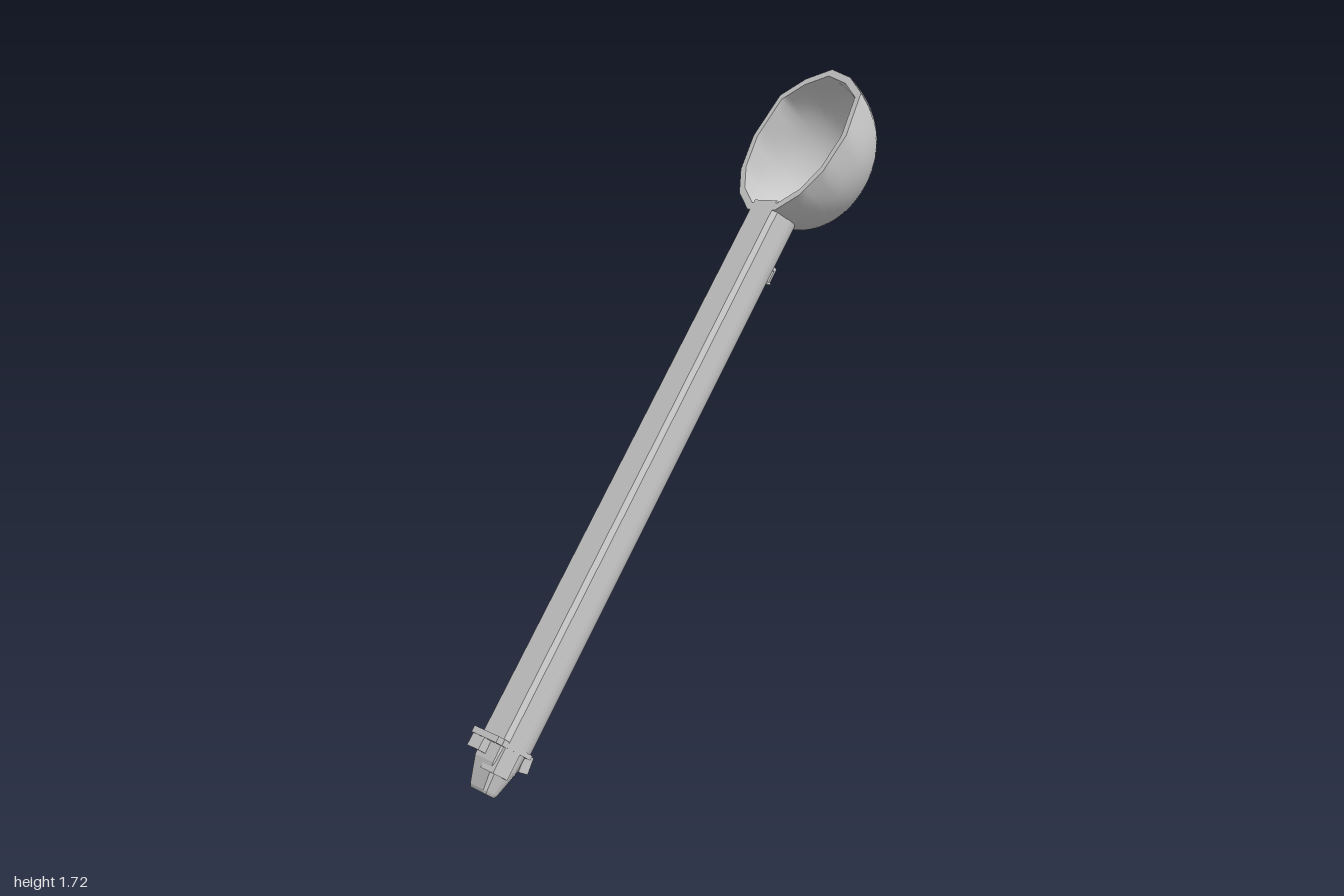
import * as THREE from 'three';

const material = new THREE.MeshStandardMaterial({ color: 0xcccccc, side: THREE.DoubleSide });

function part(name, geometry, parent) {
  const mesh = new THREE.Mesh(geometry, material);
  mesh.name = name;
  parent.add(mesh);
  return mesh;
}

function box(name, parent, w, h, d, x, y, z, tilt = 0) {
  const mesh = part(name, new THREE.BoxGeometry(w, h, d), parent);
  mesh.position.set(x, y, z);
  mesh.rotation.x = tilt;
}

// Skin a list of closed rings, each with the same number of points
function loft(rings, flat = false) {
  const n = rings[0].length, index = [];
  for (let i = 0; i < rings.length - 1; i++) {
    for (let j = 0; j < n; j++) {
      const a = i * n + j, b = i * n + (j + 1) % n;
      index.push(a, a + n, b, b, a + n, b + n);
    }
  }
  let geo = new THREE.BufferGeometry().setFromPoints(rings.flat());
  geo.setIndex(index);
  if (flat) geo = geo.toNonIndexed();
  geo.computeVertexNormals();
  return geo;
}

// Angular rim outline, half given and then mirrored: [x, distance from bowl centre]
function rimOutline() {
  const half = [[0, -0.225], [0.05, -0.225], [0.11, -0.175], [0.15, -0.1], [0.168, 0.01],
    [0.146, 0.145], [0.08, 0.197], [0, 0.226]];
  const all = [...half, ...half.slice(1, -1).reverse().map(([x, y]) => [-x, y])];
  const points = [];
  all.forEach(([x, y], i) => {
    const [x2, y2] = all[(i + 1) % all.length];
    for (let k = 0; k < 4; k++) {
      points.push(new THREE.Vector2(x + (x2 - x) * k / 4, y + (y2 - y) * k / 4));
    }
  });
  return points;
}

// Bowl ring at a given depth; the outline softens into an ellipse further down
function bowlRing(rim, depth, maxDepth, scale) {
  const shrink = scale * Math.sqrt(Math.max(0, 1 - Math.pow(depth / maxDepth, 2.6)));
  const blend = Math.min(1, depth / 0.1);
  return rim.map((p) => {
    const angle = Math.atan2(p.y / 0.225, p.x / 0.17);
    const x = THREE.MathUtils.lerp(p.x, 0.17 * Math.cos(angle), blend);
    const y = THREE.MathUtils.lerp(p.y, 0.225 * Math.sin(angle), blend);
    return new THREE.Vector3(x * shrink, 0.225 + y * shrink, -depth);
  });
}

function addBowl(parent) {
  const bowl = new THREE.Group();
  bowl.name = 'bowl';
  parent.add(bowl);
  const rim = rimOutline(), steps = 16;
  const shell = (depth, scale) => Array.from({ length: steps + 1 }, (_, i) =>
    bowlRing(rim, depth * Math.sin(i / steps * Math.PI / 2), depth, scale));
  const outer = shell(0.24, 1), inner = shell(0.222, 0.905);
  part('bowlOutside', loft(outer), bowl);
  part('bowlInside', loft([...inner].reverse()), bowl);
  part('bowlRim', loft([inner[0], outer[0]]), bowl);
}

// Handle section: flat front, straight sides, rounded back (y is depth behind the front)
function handleSection() {
  const s = new THREE.Shape();
  s.moveTo(-0.04, 0);
  s.lineTo(0.04, 0);
  s.lineTo(0.05, 0.012);
  s.lineTo(0.05, 0.06);
  s.quadraticCurveTo(0.048, 0.1, 0.015, 0.115);
  s.lineTo(-0.015, 0.115);
  s.quadraticCurveTo(-0.048, 0.1, -0.05, 0.06);
  s.lineTo(-0.05, 0.012);
  s.closePath();
  return s;
}

function addHandle(parent) {
  const geo = new THREE.ExtrudeGeometry(handleSection(), { depth: 1.525, bevelEnabled: false, curveSegments: 6 });
  geo.rotateX(-Math.PI / 2);
  geo.translate(0, -1.495, 0);
  part('handle', geo, parent);

  // Two small pins on the handle's end face inside the bowl
  for (const side of [-1, 1]) {
    const pin = part('endPin', new THREE.CylinderGeometry(0.005, 0.005, 0.006, 8), parent);
    pin.position.set(side * 0.03, 0.031, -0.05);
  }
}

// Tapered plug, collar and latches at the foot of the handle
function addEndFitting(parent) {
  const fitting = new THREE.Group();
  fitting.name = 'endFitting';
  parent.add(fitting);
  const section = handleSection().getPoints(4);
  const ring = (y, sx, sz) => section.map((p) =>
    new THREE.Vector3(p.x * sx, y, -0.054 - (p.y - 0.057) * sz));
  part('plug', loft([ring(-1.49, 0, 0), ring(-1.49, 0.93, 0.9), ring(-1.55, 0.9, 0.84),
    ring(-1.615, 0.66, 0.5), ring(-1.622, 0.6, 0.42), ring(-1.622, 0, 0)], true), fitting);
  box('collar', fitting, 0.1, 0.012, 0.1, 0, -1.501, -0.045);
  box('frontTab', fitting, 0.098, 0.016, 0.05, 0, -1.5, 0);
  box('frontLatch', fitting, 0.045, 0.035, 0.03, -0.026, -1.522, 0.004);
  box('sideLatch', fitting, 0.05, 0.075, 0.05, 0.024, -1.535, -0.034);
  box('backLatch', fitting, 0.06, 0.042, 0.03, 0, -1.52, -0.108, 0.15);
}

// Small hook on the back of the handle, just below the bowl
function addHook(parent) {
  const hook = new THREE.Group();
  hook.name = 'hook';
  parent.add(hook);
  box('hookStem', hook, 0.012, 0.01, 0.025, 0, -0.1, -0.124);
  box('hookArm', hook, 0.012, 0.05, 0.006, 0, -0.12, -0.135);
  box('hookTip', hook, 0.02, 0.006, 0.025, 0, -0.145, -0.126, 0.4);
}

export function createModel() {
  const model = new THREE.Group();
  model.name = 'spoon';
  // Built upright with the rim in the plane z = 0, then leaned back
  const spoon = new THREE.Group();
  spoon.name = 'leaningSpoon';
  spoon.position.set(0.036, 1.637, -0.332);
  spoon.rotation.x = -0.63;
  model.add(spoon);
  addBowl(spoon);
  addHandle(spoon);
  addEndFitting(spoon);
  addHook(spoon);
  return model;
}
